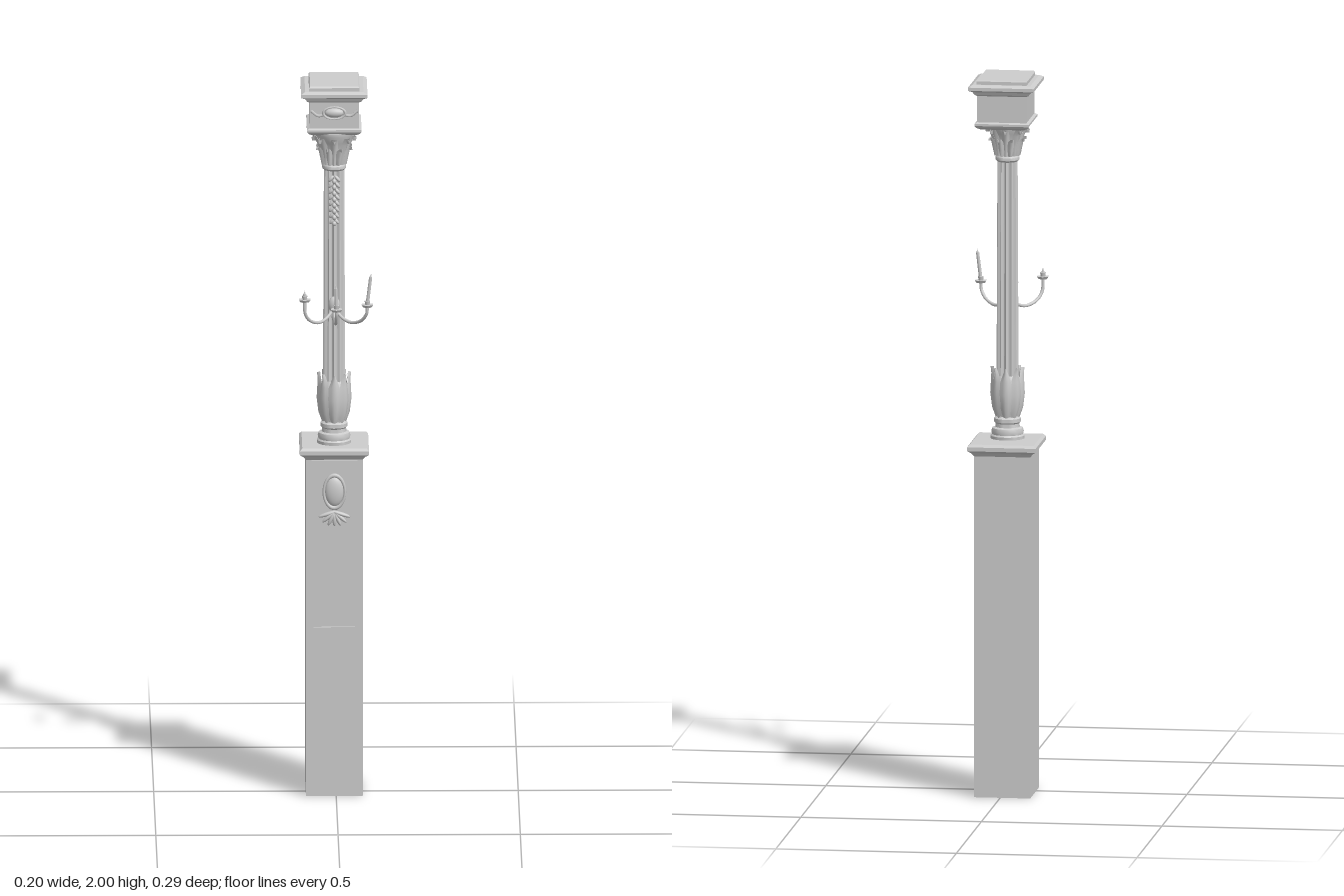
import * as THREE from 'three';
import { toCreasedNormals } from 'three/addons/utils/BufferGeometryUtils.js';

const CX = -0.005;   // shared centre line in x
const COL_Z = -0.012; // column axis in z

// Flat-shaded solid through stacked rings of [x, y, z] points (counter-clockwise from above)
function loft(rings) {
  const pos = [], n = rings[0].length;
  const tri = (a, b, c) => pos.push(...a, ...b, ...c);
  for (let i = 0; i < rings.length - 1; i++) {
    for (let j = 0; j < n; j++) {
      const k = (j + 1) % n, lo = rings[i], hi = rings[i + 1];
      tri(lo[j], lo[k], hi[k]);
      tri(lo[j], hi[k], hi[j]);
    }
  }
  const first = rings[0], last = rings[rings.length - 1];
  for (let j = 0; j < n; j++) {
    const k = (j + 1) % n;
    tri([0, last[0][1], 0], last[j], last[k]);
    tri([0, first[0][1], 0], first[k], first[j]);
  }
  const g = new THREE.BufferGeometry();
  g.setAttribute('position', new THREE.Float32BufferAttribute(pos, 3));
  g.computeVertexNormals();
  return g;
}

// Rectangular moulding from [halfX, halfZ, y] levels
const rectLoft = levels => loft(levels.map(([x, z, y]) =>
  [[x, y, z], [x, y, -z], [-x, y, -z], [-x, y, z]]));

const lathe = (pts, seg = 24) => toCreasedNormals(
  new THREE.LatheGeometry(pts.map(p => new THREE.Vector2(...p)), seg), 0.7);

// Bowed leaf from [radius, y, halfWidth] stations, with a raised midrib
function leaf(stations) {
  const pos = [], idx = [];
  stations.forEach(([r, y, w]) => {
    for (const s of [-1, -0.5, 0, 0.5, 1])
      pos.push(s * w, y, r - 0.007 * s * s + (s === 0 ? 0.002 : 0));
  });
  for (let i = 0; i < stations.length - 1; i++) {
    for (let j = 0; j < 4; j++) {
      const a = i * 5 + j;
      idx.push(a, a + 1, a + 6, a, a + 6, a + 5);
    }
  }
  const g = new THREE.BufferGeometry();
  g.setAttribute('position', new THREE.Float32BufferAttribute(pos, 3));
  g.setIndex(idx);
  g.computeVertexNormals();
  return g;
}

export function createModel() {
  const root = new THREE.Group();
  const stone = new THREE.MeshStandardMaterial({ color: 0xcccccc });
  stone.name = 'pale grey';
  stone.side = THREE.DoubleSide;
  const add = (name, geo, x = 0, y = 0, z = 0, parent = root) => {
    const m = new THREE.Mesh(geo, stone);
    m.name = name;
    m.position.set(x, y, z);
    parent.add(m);
    return m;
  };
  const ellipsoid = (name, rx, ry, rz, x, y, z, parent = root) => {
    const m = add(name, new THREE.SphereGeometry(1, 20, 12), x, y, z, parent);
    m.scale.set(rx, ry, rz);
    return m;
  };
  const ovalFrame = (name, rx, ry, x, y, z) => {
    const m = add(name, new THREE.TorusGeometry(1, 0.13, 8, 32), x, y, z);
    m.scale.set(rx, ry, 0.04);
    return m;
  };

  // Pedestal and its moulded slab
  add('pedestal', rectLoft([[0.078, 0.089, 0], [0.078, 0.089, 0.955]]), CX, 0, -0.034);
  add('pedestalSlab', rectLoft([[0.078, 0.089, 0.95], [0.086, 0.096, 0.96], [0.095, 0.104, 0.966],
    [0.095, 0.104, 0.977], [0.088, 0.097, 0.984]]), CX, 0, -0.034);

  // Front panel frame
  const frame = new THREE.Group();
  frame.name = 'panelFrame';
  root.add(frame);
  for (const s of [-1, 1]) {
    add('frameSide', new THREE.BoxGeometry(0.006, 0.47, 0.01), CX + s * 0.06, 0.71, 0.056, frame);
    add('frameRail', new THREE.BoxGeometry(0.126, 0.006, 0.01), CX, 0.71 + s * 0.235, 0.056, frame);
  }

  // Pedestal medallion with a spray of leaves beneath
  ellipsoid('pedestalMedallion', 0.026, 0.042, 0.013, CX, 0.86, 0.055);
  ovalFrame('medallionRim', 0.029, 0.046, CX, 0.86, 0.058);
  for (let i = -3; i <= 3; i++) {
    const a = i * 0.42;
    const m = ellipsoid('sprayLeaf', 0.0055, 0.02 + Math.abs(i) * 0.002, 0.007,
      CX + Math.sin(a) * 0.02, 0.803 - Math.cos(a) * 0.02, 0.057);
    m.rotation.z = a;
  }

  // Column with everything measured from its own axis
  const column = new THREE.Group();
  column.name = 'column';
  column.position.set(CX, 0, COL_Z);
  root.add(column);

  add('columnBase', lathe([[0, 0.98], [0.047, 0.98], [0.047, 0.992], [0.043, 0.996], [0.045, 1.004],
    [0.042, 1.013], [0.034, 1.016], [0.033, 1.026], [0.037, 1.03], [0.037, 1.04], [0.028, 1.046]]), 0, 0, 0, column);

  // Fluted shaft: rounded hollows between narrow ridges
  const flutes = 12, steps = 6;
  const shaftRing = (r, y) => Array.from({ length: flutes * steps }, (_, i) => {
    const a = i / (flutes * steps) * Math.PI * 2;
    const rr = r - 0.006 * Math.sin((i % steps) / steps * Math.PI);
    return [Math.cos(a) * rr, y, -Math.sin(a) * rr];
  });
  add('flutedShaft', loft([shaftRing(0.031, 1.04), shaftRing(0.028, 1.77)]), 0, 0, 0, column);

  // Leaf sheath around the foot of the shaft
  add('sheathCore', lathe([[0.027, 1.04], [0.036, 1.07], [0.041, 1.11], [0.038, 1.145], [0.029, 1.16]]), 0, 0, 0, column);
  for (let i = 0; i < 8; i++) {
    const m = add('sheathLeaf', leaf([[0.03, 1.04, 0.01], [0.041, 1.07, 0.015], [0.046, 1.11, 0.018],
      [0.044, 1.145, 0.015], [0.043, 1.165, 0.008], [0.045, 1.182, 0.001]]), 0, 0, 0, column);
    m.rotation.y = i * Math.PI / 4;
  }

  // Capital: collar, bell and two tiers of curling leaves
  add('capitalBell', lathe([[0.028, 1.755], [0.033, 1.76], [0.033, 1.768], [0.028, 1.774], [0.031, 1.80],
    [0.04, 1.835], [0.053, 1.856], [0.053, 1.866], [0, 1.866]]), 0, 0, 0, column);
  for (let i = 0; i < 16; i++) {
    const tall = i % 2 === 0;
    const m = add('capitalLeaf', leaf(tall
      ? [[0.033, 1.772, 0.006], [0.037, 1.80, 0.01], [0.045, 1.83, 0.011], [0.056, 1.85, 0.009], [0.06, 1.845, 0.005], [0.058, 1.836, 0.001]]
      : [[0.035, 1.772, 0.006], [0.039, 1.79, 0.009], [0.044, 1.812, 0.009], [0.051, 1.822, 0.006], [0.052, 1.814, 0.001]]), 0, 0, 0, column);
    m.rotation.y = i * Math.PI / 8;
  }

  // Hanging garland of small buds on the shaft front
  for (let i = 0; i < 8; i++) {
    for (const s of [-1, 1]) {
      const m = ellipsoid('garlandLeaf', 0.005, 0.011, 0.006, s * (0.009 - i * 0.0005), 1.735 - i * 0.017, 0.03, column);
      m.rotation.z = s * 0.7;
    }
    ellipsoid('garlandBud', 0.006, 0.007, 0.007, 0, 1.728 - i * 0.017, 0.034, column);
  }

  // Entablature block, crown moulding and raised lid
  add('entablature', rectLoft([[0.06, 0.072, 1.86], [0.07, 0.084, 1.866], [0.075, 0.088, 1.872], [0.075, 0.088, 1.878],
    [0.068, 0.083, 1.882], [0.068, 0.083, 1.955], [0.075, 0.088, 1.959], [0.08, 0.092, 1.967],
    [0.091, 0.102, 1.972], [0.091, 0.102, 1.981], [0.08, 0.091, 1.987]]), CX, 0, -0.046);
  add('lid', rectLoft([[0.069, 0.085, 1.985], [0.069, 0.085, 1.996], [0.066, 0.082, 2]]), CX, 0, -0.046);

  // Entablature medallion with flanking swags
  ellipsoid('entablatureMedallion', 0.026, 0.013, 0.012, CX, 1.926, 0.038);
  ovalFrame('entablatureRim', 0.03, 0.017, CX, 1.926, 0.04);
  for (const s of [-1, 1]) {
    const swag = new THREE.CatmullRomCurve3([[0.029, 1.92], [0.045, 1.918], [0.064, 1.932]]
      .map(([x, y]) => new THREE.Vector3(CX + s * x, y, 0.038)));
    add('swag', new THREE.TubeGeometry(swag, 10, 0.004, 6), 0, 0, 0);
  }

  // Candelabra: boss, three curved arms, hexagonal dishes and candles
  const candelabra = new THREE.Group();
  candelabra.name = 'candelabra';
  root.add(candelabra);
  ellipsoid('boss', 0.016, 0.024, 0.012, CX, 1.378, 0.017, candelabra);
  ellipsoid('bossDrop', 0.007, 0.014, 0.007, CX, 1.345, 0.018, candelabra);
  // [dish x, dish y, dish z, candle height, candle lean]
  for (const [x, y, z, h, lean] of [
    [-0.087, 1.412, 0.104, 0.012, 0], [0, 1.39, 0.128, 0.056, 0.03], [0.085, 1.397, 0.104, 0.075, -0.12]]) {
    const at = (t, py) => new THREE.Vector3(CX + (x - CX) * t, py, 0.02 + (z - 0.02) * t);
    const path = new THREE.CatmullRomCurve3([at(0, 1.372), at(0.22, 1.349), at(0.5, 1.34), at(0.82, 1.352), at(0.98, 1.375), at(1, y)]);
    add('arm', new THREE.TubeGeometry(path, 28, 0.0045, 8), 0, 0, 0, candelabra);
    add('dish', toCreasedNormals(new THREE.CylinderGeometry(0.018, 0.013, 0.007, 6), 0.3), x, y, z, candelabra);
    add('socket', new THREE.CylinderGeometry(0.008, 0.006, 0.012, 10), x, y + 0.008, z, candelabra);
    const candle = new THREE.Group();
    candle.name = 'candle';
    candle.position.set(x, y + 0.006, z);
    candle.rotation.z = lean;
    candelabra.add(candle);
    add('wax', new THREE.CylinderGeometry(0.0045, 0.005, h, 10), 0, h / 2, 0, candle);
    add('wick', new THREE.ConeGeometry(0.0035, 0.012, 8), 0, h + 0.005, 0, candle);
  }
  return root;
}
